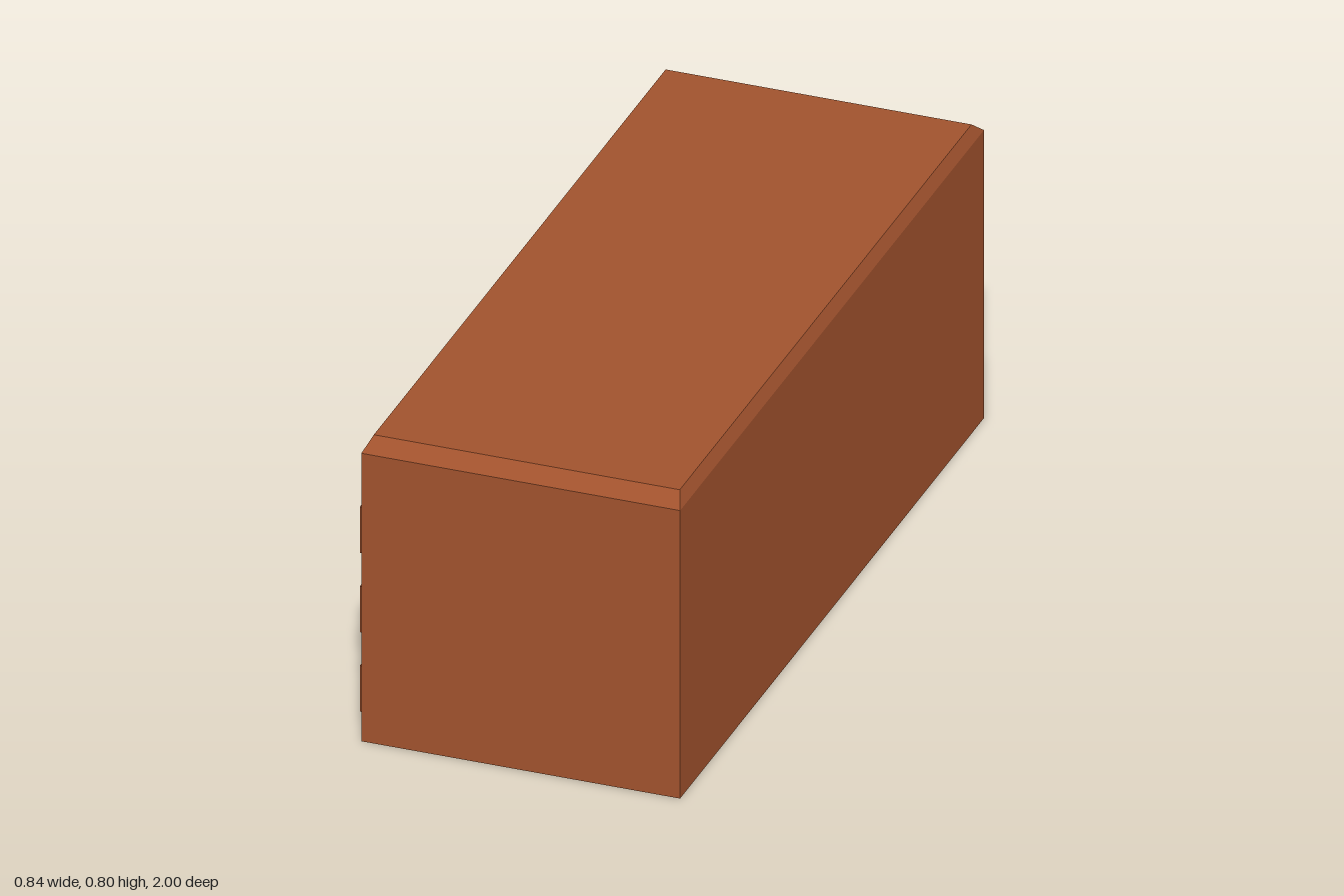
import * as THREE from 'three';

const wood = new THREE.MeshStandardMaterial({ color: 0xa0522d, flatShading: true });
const brass = new THREE.MeshStandardMaterial({ color: 0xc27a17, flatShading: true });

// Box given by its lower and upper corners
function box(name, [x0, y0, z0], [x1, y1, z1], material) {
  const geometry = new THREE.BoxGeometry(x1 - x0, y1 - y0, z1 - z0);
  geometry.translate((x0 + x1) / 2, (y0 + y1) / 2, (z0 + z1) / 2);
  const mesh = new THREE.Mesh(geometry, material);
  mesh.name = name;
  return mesh;
}

export function createModel() {
  const desk = new THREE.Group();
  desk.name = 'desk';

  const back = 0.42, face = -0.375; // drawers face -x
  const kneeTop = 0.64, bodyTop = 0.763, top = 0.795;

  // U-shaped base: two pedestals joined by a deep back, around the kneehole
  const plan = new THREE.Shape([
    [face, -1], [back, -1], [back, 1], [face, 1],
    [face, 0.338], [0.1, 0.338], [0.1, -0.332], [face, -0.332],
  ].map(([x, y]) => new THREE.Vector2(x, y)));
  const baseGeometry = new THREE.ExtrudeGeometry(plan, { depth: kneeTop, bevelEnabled: false });
  baseGeometry.rotateX(-Math.PI / 2);
  const base = new THREE.Mesh(baseGeometry, wood);
  base.name = 'pedestals';
  desk.add(base);

  // Solid band above the kneehole
  desk.add(box('upperBody', [face, kneeTop, -1], [back, bodyTop, 1], wood));

  // Table top with sloped edges: the upper corners move inwards
  const tableTop = box('tableTop', [face, bodyTop, -1], [back, top, 1], wood);
  const p = tableTop.geometry.attributes.position;
  for (let i = 0; i < p.count; i++) {
    if (p.getY(i) < (bodyTop + top) / 2) continue;
    p.setX(i, p.getX(i) - Math.sign(p.getX(i)) * 0.016);
    p.setZ(i, p.getZ(i) - Math.sign(p.getZ(i)) * 0.04);
  }
  tableTop.geometry.computeVertexNormals();
  desk.add(tableTop);

  // Three drawers with handles on each pedestal
  for (const z of [-0.673, 0.666]) {
    for (let row = 0; row < 3; row++) {
      const y = 0.106 + row * 0.2105;
      const drawer = new THREE.Group();
      drawer.name = 'drawer';
      drawer.add(
        box('drawerFront', [-0.4, y - 0.061, z - 0.277], [face, y + 0.061, z + 0.277], wood),
        box('handle', [-0.422, y - 0.019, z - 0.086], [-0.4, y + 0.019, z + 0.086], brass),
      );
      desk.add(drawer);
    }
  }
  return desk;
}
